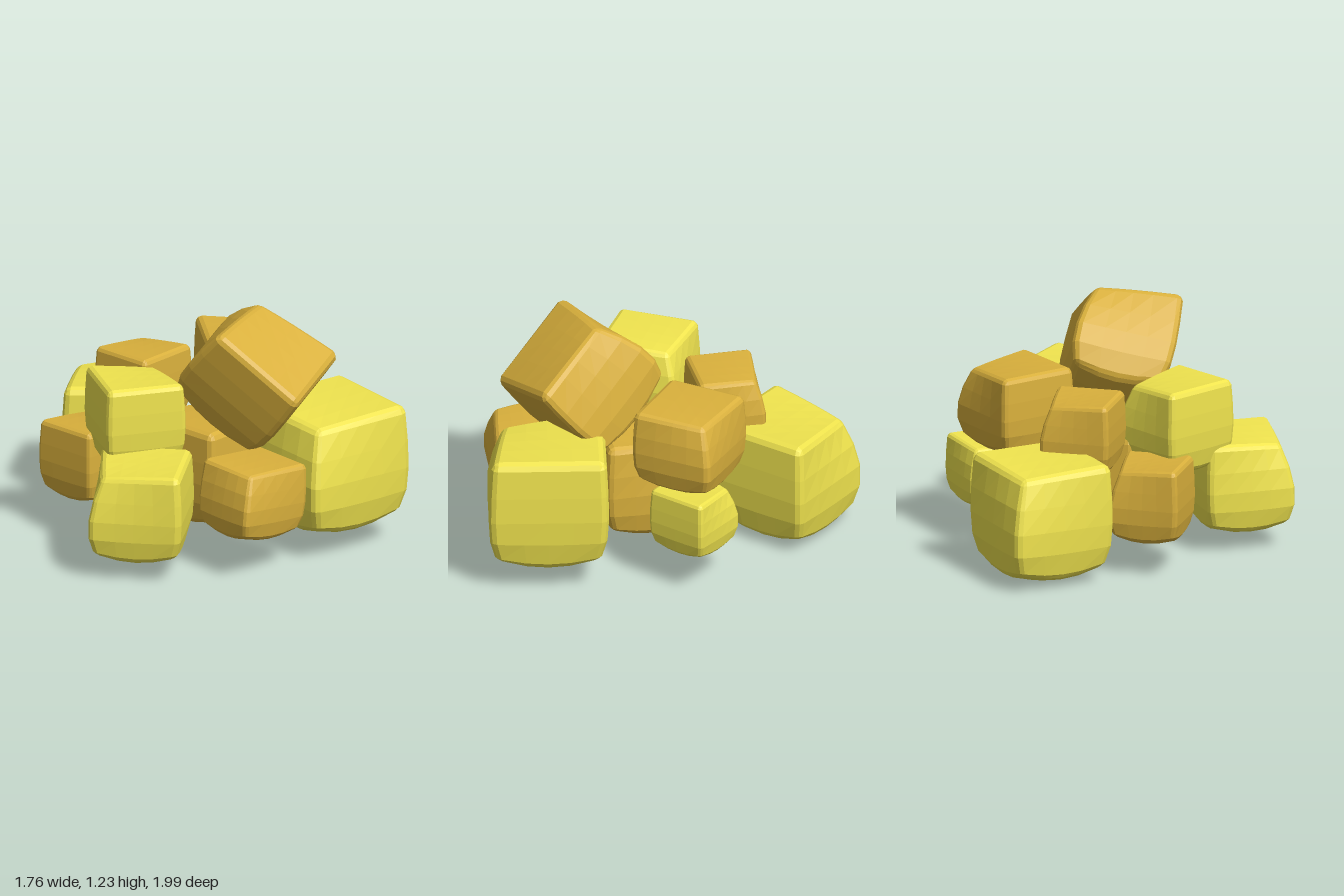
import * as THREE from 'three';

const yellow = new THREE.MeshStandardMaterial({ color: 0xefe34e, flatShading: true });
const orange = new THREE.MeshStandardMaterial({ color: 0xd9b03c, flatShading: true });

// Chunky nugget: bevelled cube with a flat top, a bulging underside and one worn top corner (+x, -z)
function nuggetGeometry() {
  const geo = new THREE.BoxGeometry(2, 2, 2, 6, 6, 6);
  const rows = [-1, -0.88, -0.42, 0, 0.42, 0.88, 1];
  const pos = geo.attributes.position;
  for (let i = 0; i < pos.count; i++) {
    const g = [pos.getX(i), pos.getY(i), pos.getZ(i)].map(v => rows[Math.round((v + 1) * 3)]);
    // bevel: pull in edges and corners
    const rim = g.filter(v => Math.abs(v) === 1).length;
    const k = [1, 1, 0.96, 0.935][rim];
    let [x, y, z] = g.map(v => (Math.abs(v) === 1 ? v * k : v));
    // sides swell a little at mid height
    const swell = 1 + 0.05 * (1 - y * y);
    // underside is domed and narrower
    const low = Math.max(0, -y);
    const narrow = 1 - 0.1 * low * low;
    const dome = 1 - 0.15 * low * (x * x + z * z);
    // worn top corner
    const worn = ((1 + x) / 2) * ((1 - z) / 2) * Math.max(0, (y + 0.3) / 1.3) ** 1.5;
    const girth = swell * narrow * (1 - 0.27 * worn);
    pos.setXYZ(i, (x * girth) / 2, (y * dome * (1 - 0.15 * worn)) / 2, (z * girth) / 2);
  }
  geo.computeVertexNormals();
  return geo;
}

export function createModel() {
  const group = new THREE.Group();
  const geo = nuggetGeometry();

  // name, material, centre, size, yaw, roll
  const nuggets = [
    ['frontYellowNugget', yellow, [0.41, 0.41, 0.665], [0.58, 0.66, 0.58], 2.99, 0],
    ['leftYellowNugget', yellow, [-0.56, 0.32, 0.3], [0.46, 0.51, 0.45], 2.21, 0],
    ['backYellowNugget', yellow, [0.18, 0.31, -0.61], [0.53, 0.62, 0.54], 0.78, 0],
    ['smallYellowNugget', yellow, [0.66, 0.35, -0.045], [0.32, 0.35, 0.32], 0.75, 0],
    ['upperYellowNugget', yellow, [-0.32, 0.67, 0.02], [0.4, 0.47, 0.42], -0.5, 0],
    ['rightOrangeNugget', orange, [0.515, 0.7, -0.045], [0.43, 0.44, 0.42], -0.64, 0],
    ['backOrangeNugget', orange, [0.065, 0.67, -0.31], [0.35, 0.4, 0.34], 0.05, 0],
    ['lowBackOrangeNugget', orange, [-0.31, 0.36, -0.33], [0.35, 0.42, 0.34], 0.05, 0],
    ['frontOrangeNugget', orange, [-0.145, 0.37, 0.685], [0.4, 0.4, 0.35], 3.1, 0.1],
    ['coreOrangeNugget', orange, [0.11, 0.33, 0.11], [0.48, 0.56, 0.48], 0.05, 0],
  ];
  for (const [name, material, centre, size, yaw, roll] of nuggets) {
    const mesh = new THREE.Mesh(geo, material);
    mesh.name = name;
    mesh.position.set(...centre);
    mesh.rotation.set(0, yaw, roll);
    mesh.scale.set(...size);
    group.add(mesh);
  }

  // Large tilted nugget resting on top
  const top = new THREE.Mesh(geo, orange);
  top.name = 'topOrangeNugget';
  const side = new THREE.Vector3(0.9, 0.23, -0.31).normalize();
  const up = new THREE.Vector3(0, 0.74, 0.67).normalize();
  const depth = new THREE.Vector3().crossVectors(side, up).normalize();
  up.crossVectors(depth, side);
  top.quaternion.setFromRotationMatrix(new THREE.Matrix4().makeBasis(side, up, depth));
  top.position.set(0.12, 0.89, 0.41);
  top.scale.set(0.5, 0.57, 0.54);
  group.add(top);

  return group;
}
